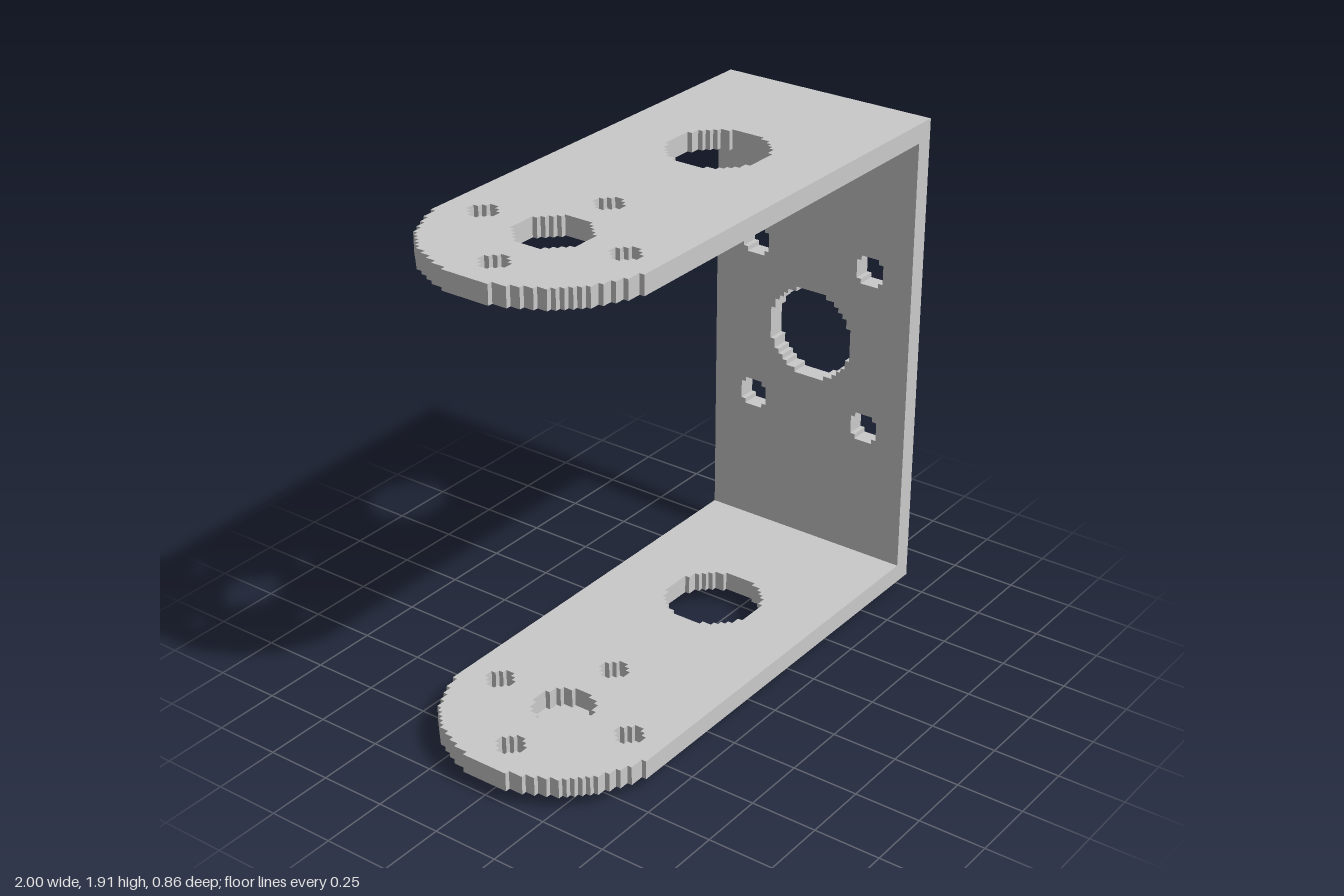
import * as THREE from 'three';

const STEP = 0.0186;             // size of the stair steps along curved edges
const THICK = 0.072;             // sheet thickness
const BASE = 0.055, TOP = 1.912; // underside and top of the bracket
const HALF = 23 * STEP;          // half the width of the bracket
const HUB = HALF - 1;            // x of the pivot axis

// One side of a stair-stepped circle, from low v to high v (sign -1 left, 1 right)
function steppedSide(cu, cv, r, sign) {
  const n = Math.round((2 * r) / STEP), odd = (n % 2) / 2;
  const pts = [];
  for (let i = 0; i < n; i++) {
    const v = (i - n / 2) * STEP, mid = v + STEP / 2;
    const half = Math.round(Math.sqrt(r * r - mid * mid) / STEP - odd) + odd;
    const u = cu + sign * half * STEP;
    const last = pts[pts.length - 1];
    if (last && Math.abs(last.x - u) < 1e-6) last.y = cv + v + STEP;
    else pts.push(new THREE.Vector2(u, cv + v), new THREE.Vector2(u, cv + v + STEP));
  }
  return pts;
}

function steppedHole([cu, cv, r]) {
  return new THREE.Path([...steppedSide(cu, cv, r, -1), ...steppedSide(cu, cv, r, 1).reverse()]);
}

// Flat sheet with a counter-clockwise outline and clockwise holes
function plate(points, holes) {
  const shape = new THREE.Shape(points);
  shape.holes = holes.map(steppedHole);
  return new THREE.ExtrudeGeometry(shape, { depth: THICK, bevelEnabled: false });
}

export function createModel() {
  const model = new THREE.Group();
  model.name = 'bracket';
  const grey = new THREE.MeshStandardMaterial({ color: 0xcacaca });
  grey.name = 'grey metal';

  const add = (name, geometry) => {
    const mesh = new THREE.Mesh(geometry, grey);
    mesh.name = name;
    model.add(mesh);
    return mesh;
  };

  // Arms: flat plates with a rounded end, screw holes round the hub and a large cut-out
  const armOutline = [
    new THREE.Vector2(1, -HALF), new THREE.Vector2(1, HALF),
    ...steppedSide(HUB, 0, HALF, -1).reverse(),
  ];
  const screwHoles = [[0.287, 0], [-0.287, 0], [0, 0.287], [0, -0.287]]
    .map(([u, v]) => [HUB + u, v, 0.0513]);
  const arm = (name, y, hubRadius) => {
    const geometry = plate(armOutline, [...screwHoles, [0.32, 0, 0.18], [HUB, 0, hubRadius]]);
    geometry.rotateX(-Math.PI / 2).translate(0, y, 0);
    add(name, geometry);
  };
  arm('lowerArm', BASE, 0.11);
  arm('upperArm', TOP - THICK, 0.13);

  // Side wall joining the arms, with four screw holes and a large cut-out
  const low = BASE + THICK, high = TOP - THICK, middle = (BASE + TOP) / 2;
  const wallOutline = [[-HALF, low], [HALF, low], [HALF, high], [-HALF, high]]
    .map(([u, v]) => new THREE.Vector2(u, v));
  const wallHoles = [[0, middle, 0.18]];
  for (const u of [-0.25, 0.25]) {
    for (const v of [-0.32, 0.32]) wallHoles.push([u, middle + v, 0.056]);
  }
  const wall = plate(wallOutline, wallHoles);
  wall.rotateY(Math.PI / 2).translate(1 - THICK, 0, 0);
  add('sideWall', wall);

  // Round pivot boss under the lower arm
  const boss = new THREE.CylinderGeometry(0.126, 0.126, BASE, 48);
  add('pivotBoss', boss).position.set(HUB, BASE / 2, 0);

  return model;
}
